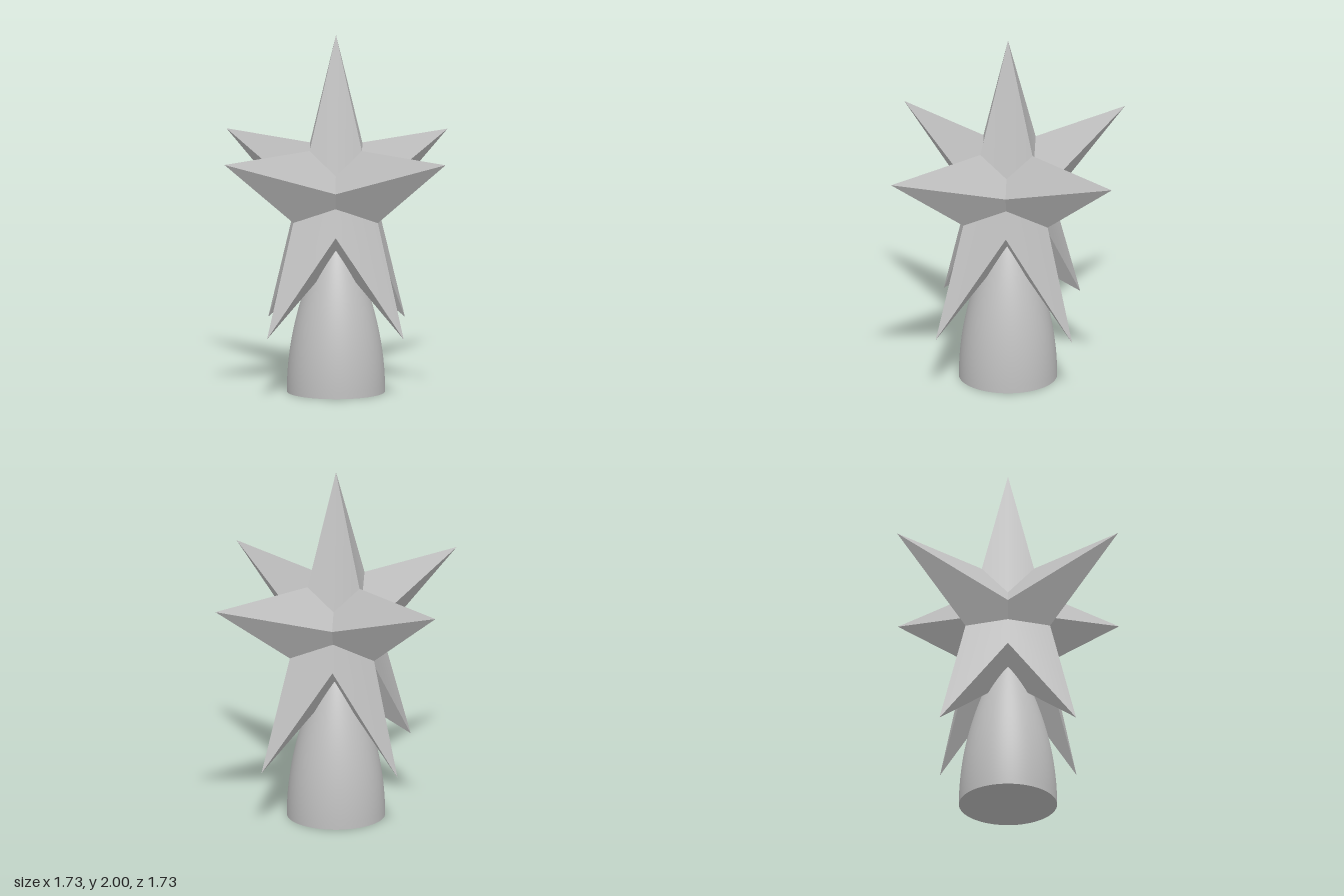
import * as THREE from 'three';
import { toCreasedNormals } from 'three/addons/utils/BufferGeometryUtils.js';

const CENTRE_Y = 1.09, DEPTH = 0.197, OUTER = 0.91, INNER = 0.348;

// Two crossed five-pointed stars joined in one shell: one eighth is built, then mirrored
function starGeometry() {
  const rim = [], seam = [];
  for (let i = 0; i <= 5; i++) {
    const r = i % 2 ? INNER : OUTER, a = i * Math.PI / 5;
    const x = i === 5 ? 0 : r * Math.sin(a), dy = r * Math.cos(a);
    const t = DEPTH / (x + DEPTH); // where the line from the hub meets the plane x = z
    rim.push([x, CENTRE_Y + dy, 0]);
    seam.push([x * t, CENTRE_Y + dy * t, x * t]);
  }
  const tris = [];
  for (let i = 0; i < 5; i++) {
    if (i < 4) tris.push([seam[i], seam[i + 1], rim[i + 1]]);
    if (i > 0) tris.push([seam[i], rim[i + 1], rim[i]]);
  }
  const pos = [];
  for (const sx of [1, -1]) for (const sz of [1, -1]) for (const swap of [false, true]) {
    const flip = (sx * sz < 0) !== swap;
    for (const [a, b, c] of tris) {
      for (const [x, y, z] of flip ? [a, c, b] : [a, b, c]) {
        pos.push(sx * (swap ? z : x), y, sz * (swap ? x : z));
      }
    }
  }
  const g = new THREE.BufferGeometry();
  g.setAttribute('position', new THREE.Float32BufferAttribute(pos, 3));
  return toCreasedNormals(g, Math.PI / 6);
}

// Bullet-shaped socket with a flat underside
function baseGeometry() {
  const height = 0.96, radius = 0.272, steps = 24;
  const profile = [new THREE.Vector2(0, 0), new THREE.Vector2(radius, 0)];
  for (let i = 1; i <= steps; i++) {
    const t = i / steps;
    profile.push(new THREE.Vector2(radius * (1 - t * t), height * t));
  }
  return toCreasedNormals(new THREE.LatheGeometry(profile, 64), Math.PI / 6);
}

export function createModel() {
  const grey = new THREE.MeshStandardMaterial({ color: 0xc0c0c0 });
  grey.name = 'light grey';

  const star = new THREE.Mesh(starGeometry(), grey);
  star.name = 'crossedStar';
  const base = new THREE.Mesh(baseGeometry(), grey);
  base.name = 'base';

  const model = new THREE.Group();
  model.name = 'starTopper';
  model.add(star, base);
  return model;
}
